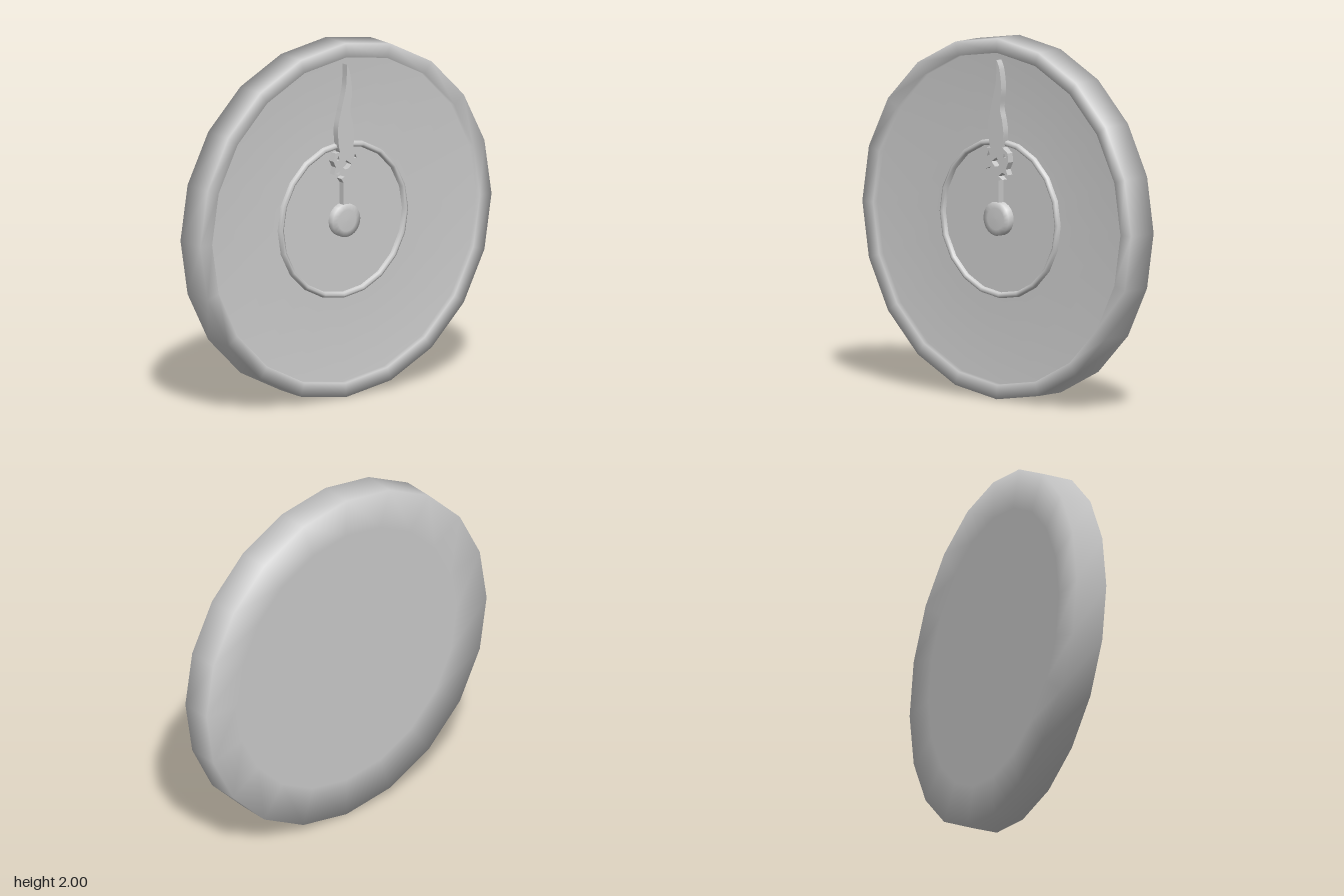
import * as THREE from 'three';

const material = new THREE.MeshStandardMaterial({ color: 0xcccccc });
const CENTRE_Y = 1;

// Turned part whose axis points to the front; profile is [radius, z] from back to front
function turned(name, profile, sides) {
  const points = profile.map(([r, z]) => new THREE.Vector2(r, z));
  const geometry = new THREE.LatheGeometry(points, sides);
  geometry.rotateX(Math.PI / 2);
  const mesh = new THREE.Mesh(geometry, material);
  mesh.name = name;
  mesh.position.y = CENTRE_Y;
  return mesh;
}

const toPoints = (list) => list.map(([x, y]) => new THREE.Vector2(x, y));

export function createModel() {
  const group = new THREE.Group();
  group.name = 'clock';

  // Twenty-sided case: flat back, raised rim and recessed face
  group.add(turned('caseAndFace', [
    [0, -0.097], [0.78, -0.097], [1, -0.097],
    [1, 0.085], [0.92, 0.085],
    [0.92, 0.05], [0.43, 0.05], [0, 0.05],
  ], 20));

  // Thin raised ring on the face
  group.add(turned('innerRing', [
    [0.445, 0.045], [0.44, 0.068], [0.427, 0.075], [0.415, 0.068], [0.41, 0.045],
  ], 20));

  // Hub at the centre
  group.add(turned('hub', [[0.094, 0.045], [0.094, 0.091], [0.06, 0.096], [0, 0.097]], 20));

  // Ornate hand: rod, scrolled collar and wavy blade
  const outline = new THREE.Shape(toPoints([
    [-0.02, 1.05], [0.018, 1.05], [0.018, 1.215], [0.045, 1.22], [0.018, 1.238],
    [0.045, 1.26], [0.085, 1.25], [0.07, 1.28], [0.09, 1.32], [0.085, 1.37], [0.045, 1.4],
  ]));
  // Right edge of the blade up to the tip, then down its left edge
  outline.splineThru(toPoints([[0.053, 1.48], [0.043, 1.55], [0.027, 1.62], [0.038, 1.72], [0.024, 1.83], [0.002, 1.88]]));
  outline.splineThru(toPoints([[-0.003, 1.76], [-0.035, 1.63], [-0.058, 1.53], [-0.053, 1.43], [-0.043, 1.39]]));
  [[-0.075, 1.39], [-0.09, 1.345], [-0.073, 1.31], [-0.085, 1.27], [-0.043, 1.285],
    [-0.053, 1.265], [-0.012, 1.25], [-0.037, 1.24], [-0.02, 1.215]].forEach(([x, y]) => outline.lineTo(x, y));
  outline.closePath();

  // Pierced openings in the collar
  outline.holes.push(
    new THREE.Path(toPoints([[0, 1.34], [-0.036, 1.315], [-0.01, 1.29], [0.012, 1.292], [0.036, 1.312]])),
    new THREE.Path(toPoints([[-0.055, 1.375], [-0.068, 1.345], [-0.048, 1.35]])),
    new THREE.Path(toPoints([[0.058, 1.37], [0.05, 1.345], [0.07, 1.345]])),
  );
  const handGeometry = new THREE.ExtrudeGeometry(outline, { depth: 0.045, bevelEnabled: false, curveSegments: 16 });
  handGeometry.translate(0, 0, 0.045);
  const hand = new THREE.Mesh(handGeometry, material);
  hand.name = 'hand';
  group.add(hand);

  return group;
}
